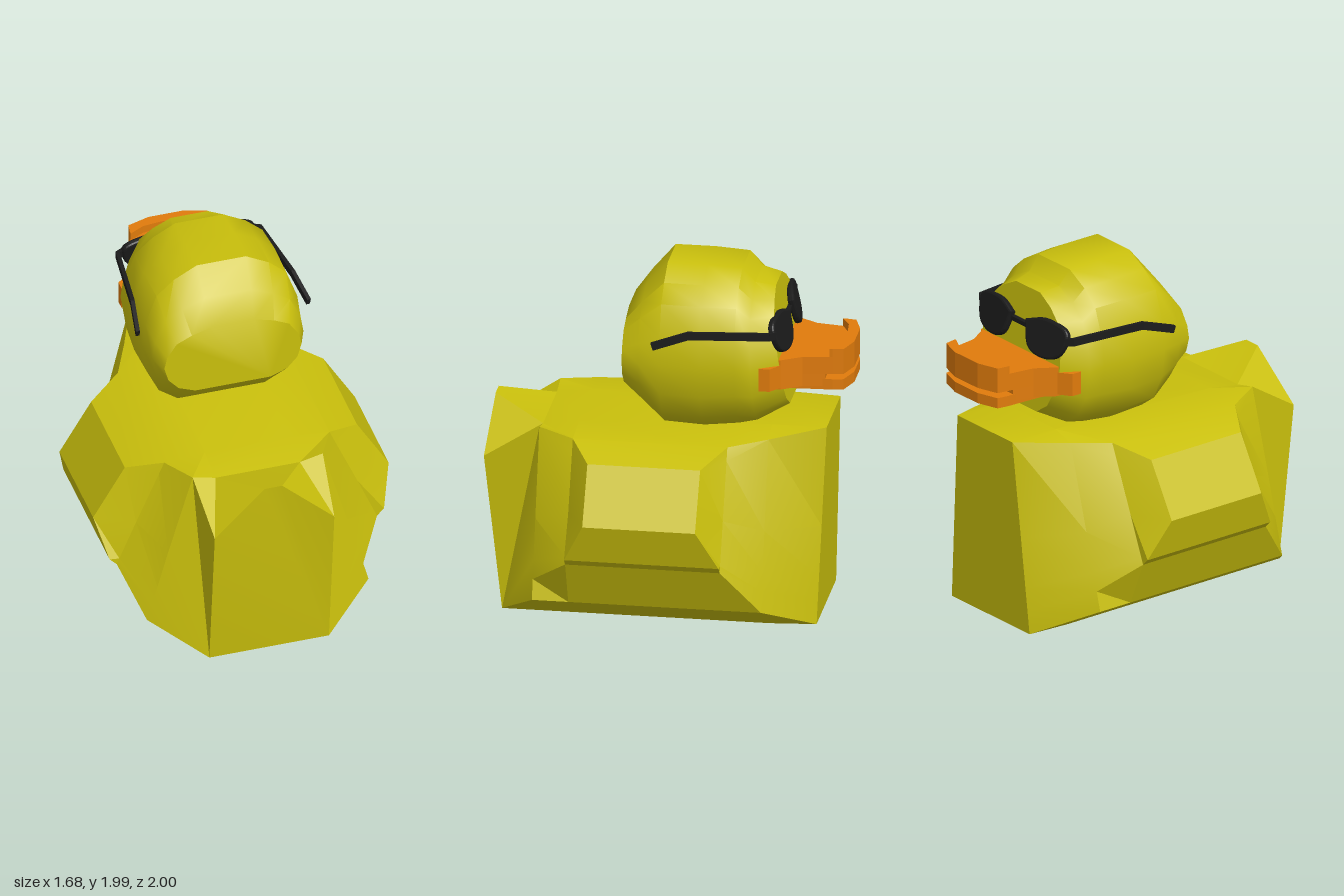
import * as THREE from 'three';
import { toCreasedNormals } from 'three/addons/utils/BufferGeometryUtils.js';

const paint = (color) => {
  const m = new THREE.MeshStandardMaterial({ color });
  m.side = THREE.DoubleSide;
  return m;
};

// Skins mirrored cross-sections, ordered from +z to -z; each half runs bottom to top on the +x side
function loft(halves, crease) {
  const rings = halves.map((h) => [...h, ...h.map(([x, y, z]) => [-x, y, z]).reverse()]);
  const n = rings[0].length, last = rings.length - 1, index = [];
  for (let i = 0; i < last; i++) for (let j = 0; j < n; j++) {
    const k = (j + 1) % n, a = i * n + j, b = i * n + k;
    index.push(a, a + n, b, a + n, b + n, b);
  }
  for (let j = 1; j < n - 1; j++) {
    index.push(0, j, j + 1, last * n, last * n + j + 1, last * n + j);
  }
  const g = new THREE.BufferGeometry();
  g.setAttribute('position', new THREE.Float32BufferAttribute(rings.flat(2), 3));
  g.setIndex(index);
  return toCreasedNormals(g, crease);
}

// Flat plate from a mirrored half outline of [x, forward], where forward is -z
function plate(half, y0, y1) {
  const pts = [...half, ...half.map(([x, f]) => [-x, f]).reverse()];
  const shape = new THREE.Shape(pts.map(([x, f]) => new THREE.Vector2(x, f)));
  const g = new THREE.ExtrudeGeometry(shape, { depth: y1 - y0, bevelEnabled: false });
  return g.rotateX(-Math.PI / 2).translate(0, y0, 0);
}

function bodyGeometry() {
  const at = (z, pts) => pts.map(([x, y]) => [x, y, z]);
  const low = [0.34, 0, 0.9], corner = [0.34, 0.88, 1];
  const tail = [low, low, low, low, low, low, corner, corner, [0.05, 1.14, 0.98]];
  const flank = (z, inner) => at(z, [[0.34, 0], [0.63, 0.17], [0.6, 0.28], [0.57, 0.38], [0.51, 0.6],
    [0.37, 1.08], [0.37, 1.08], [0.24, inner], [0.24, inner]]);
  const wingRoot = (z, inner) => at(z, [[0.34, 0], [0.63, 0.17], [0.74, 0.43], [0.725, 0.465], [0.63, 0.69],
    [0.5, 0.99], [0.47, 1.06], [0.24, inner], [0.24, inner]]);
  // The wing swells out from its root; only its outer face is drawn in along z
  const wing = (z, zOuter, inner) => [[0.34, 0, z], [0.63, 0.17, z], [0.74, 0.43, z], [0.78, 0.47, z],
    [0.84, 0.69, zOuter], [0.66, 0.99, zOuter], [0.47, 1.06, z], [0.24, inner, z], [0.24, inner, z]];
  const foot = [0.34, 0.01, -0.83], chest = [0.24, 1.12, -0.87];
  const mix = (t) => foot.map((v, i) => v + (chest[i] - v) * t);
  const breast = [0, 0, 0.12, 0.24, 0.5, 1, 1, 1, 1].map(mix);
  return loft([tail, flank(0.69, 1.05), wingRoot(0.49, 1.08), wing(0.49, 0.38, 1.08),
    wing(-0.36, -0.24, 1.11), wingRoot(-0.36, 1.11), flank(-0.57, 1.12), breast], 0.3);
}

function headGeometry() {
  // Profile as [fraction of half width, fraction of height]
  const profile = [[0.55, 0], [0.79, 0.09], [0.94, 0.25], [1, 0.45], [0.96, 0.62], [0.82, 0.82], [0.6, 0.92], [0.31, 1]];
  const sections = [ // z, bottom, top, half width, forward lean at the bottom
    [0.235, 1.31, 1.72, 0.39, 0], [0.14, 1.22, 1.85, 0.43, 0], [0.02, 1.11, 1.99, 0.45, 0],
    [-0.2, 1.1, 1.99, 0.455, 0], [-0.39, 1.12, 1.98, 0.44, 0], [-0.46, 1.14, 1.9, 0.42, 0.03],
    [-0.57, 1.23, 1.88, 0.34, 0.09]];
  return loft(sections.map(([z, y0, y1, w, lean]) =>
    profile.map(([u, t]) => [u * w, y0 + t * (y1 - y0), z - lean * (1 - t)])), 0.7);
}

export function createModel() {
  const group = new THREE.Group();
  const yellow = paint(0xc9bf0c), orange = paint(0xe07b0c), black = paint(0x1b1b1b);
  const add = (name, geometry, material, parent = group) => {
    const mesh = new THREE.Mesh(geometry, material);
    mesh.name = name;
    parent.add(mesh);
    return mesh;
  };

  add('body', bodyGeometry(), yellow);
  add('head', headGeometry(), yellow);

  // Bill: cheek corners, flared root, upper and lower plates, raised tip
  const bill = new THREE.Group();
  bill.name = 'bill';
  group.add(bill);
  const tip = [[0.235, 0.9], [0.225, 0.96], [0.1, 1]];
  add('billCorners', plate([[0.4, 0.52], [0.4, 0.58], [0.33, 0.63]], 1.37, 1.5), orange, bill);
  add('billRoot', plate([[0.33, 0.58], [0.33, 0.63], [0.26, 0.74], [0.235, 0.86]], 1.36, 1.53), orange, bill);
  add('upperBill', plate([[0.26, 0.74], ...tip], 1.43, 1.53), orange, bill);
  add('lowerBill', plate([[0.25, 0.64], [0.24, 0.8], ...tip], 1.34, 1.4), orange, bill);
  add('billTip', plate([[0.05, 0.94], [0.15, 0.93], [0.235, 0.885], ...tip], 1.5, 1.575), orange, bill);

  // Sunglasses
  const glasses = new THREE.Group();
  glasses.name = 'sunglasses';
  group.add(glasses);
  const rim = [[-0.14, 0.06], [-0.02, 0.095], [0.12, 0.08], [0.155, 0.03], [0.11, -0.07], [0, -0.1], [-0.1, -0.065]];
  for (const side of [1, -1]) {
    const curve = new THREE.SplineCurve([...rim, rim[0]].map(([x, y]) => new THREE.Vector2(side * x, y)));
    const lens = new THREE.ExtrudeGeometry(new THREE.Shape(curve.getPoints(36).slice(0, -1)),
      { depth: 0.015, bevelThickness: 0.012, bevelSize: 0.012, bevelSegments: 2 });
    lens.rotateX(0.25).rotateY(side * -0.14).translate(side * 0.215, 1.665, -0.628);
    add('lens', lens, black, glasses);

    // Arm: two thin straight lengths, the rear one dropping behind the cheek
    const path = [[0.37, 1.685, -0.6], [0.405, 1.69, -0.575], [0.455, 1.69, -0.14], [0.485, 1.63, 0.05]]
      .map(([x, y, z]) => new THREE.Vector3(side * x, y, z));
    for (let i = 0; i < 3; i++) {
      const arm = add('arm', new THREE.BoxGeometry(0.022, 0.042, path[i].distanceTo(path[i + 1]) + 0.01), black, glasses);
      arm.position.copy(path[i]).lerp(path[i + 1], 0.5);
      arm.lookAt(path[i + 1]);
    }
  }
  const bridge = add('bridge', new THREE.BoxGeometry(0.18, 0.025, 0.025), black, glasses);
  bridge.position.set(0, 1.69, -0.62);
  return group;
}
